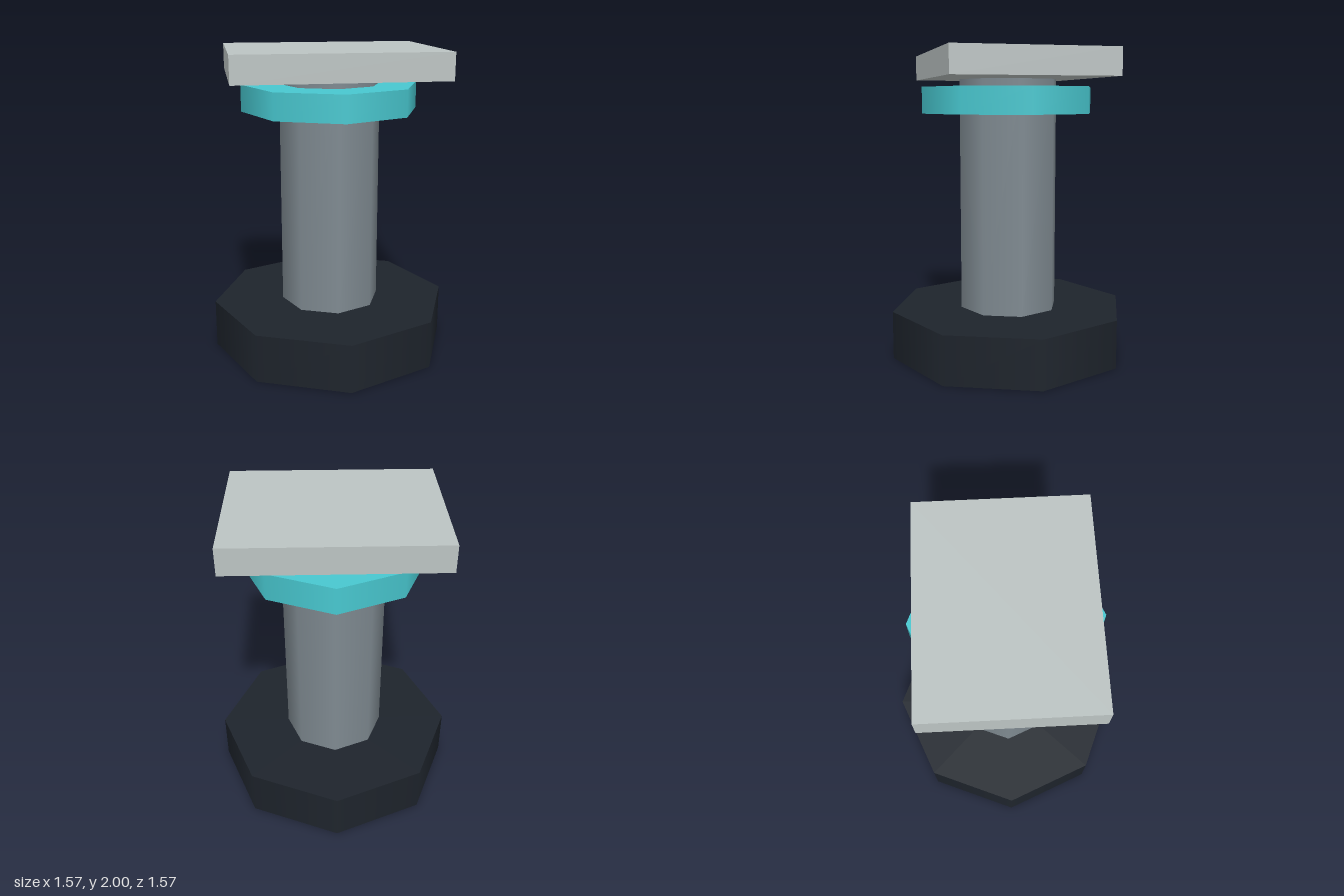
import * as THREE from 'three';

export function createModel() {
  const group = new THREE.Group();

  // Adds a part spanning the heights y0 to y1
  function add(name, geometry, color, y0, y1) {
    const mesh = new THREE.Mesh(geometry, new THREE.MeshStandardMaterial({ color }));
    mesh.name = name;
    mesh.position.y = (y0 + y1) / 2;
    group.add(mesh);
  }

  // Eight-sided discs and post with smooth side normals
  function addOctagon(name, radius, y0, y1, color) {
    add(name, new THREE.CylinderGeometry(radius, radius, y1 - y0, 8), color, y0, y1);
  }

  addOctagon('base', 0.787, 0, 0.315, 0x1e242c);
  addOctagon('column', 0.327, 0.315, 1.823, 0x7f8a91);
  addOctagon('collar', 0.572, 1.604, 1.774, 0x48c8d0);

  // Rectangular top plate, just clear of the column
  add('topPlate', new THREE.BoxGeometry(1.312, 0.17, 1.03), 0xbcc4c3, 1.83, 2);

  return group;
}
